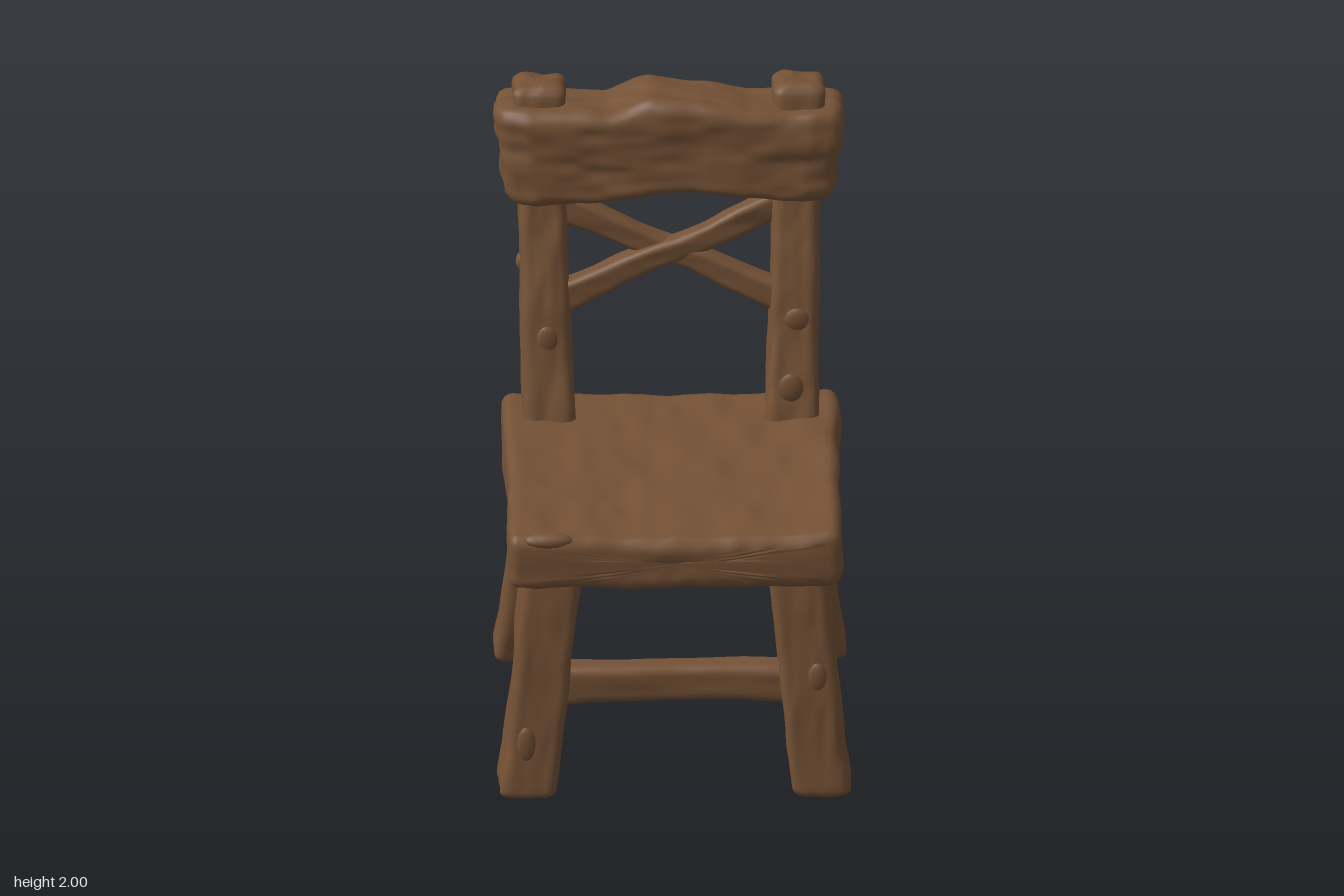
import * as THREE from 'three';

const wood = new THREE.MeshStandardMaterial({ color: 0x755236 });
wood.name = 'brown wood';

// Smooth value noise, about -1 to 1
function hash(x, y, z) {
  const s = Math.sin(x * 127.1 + y * 311.7 + z * 74.7) * 43758.5453;
  return s - Math.floor(s);
}
function noise(x, y, z) {
  const f = [x, y, z].map(Math.floor);
  const [a, b, c] = [x - f[0], y - f[1], z - f[2]].map((t) => t * t * (3 - 2 * t));
  let sum = 0;
  for (let i = 0; i < 8; i++) {
    const dx = i & 1, dy = (i >> 1) & 1, dz = i >> 2;
    sum += hash(f[0] + dx, f[1] + dy, f[2] + dz)
      * (dx ? a : 1 - a) * (dy ? b : 1 - b) * (dz ? c : 1 - c);
  }
  return sum * 2 - 1;
}

// Rounded rectangle outline, sampled evenly
function outline(w, h, r, n) {
  const s = new THREE.Shape(), a = w / 2 - r, b = h / 2 - r, q = Math.PI / 2;
  s.absarc(a, b, r, 0, q);
  s.absarc(-a, b, r, q, 2 * q);
  s.absarc(-a, -b, r, 2 * q, 3 * q);
  s.absarc(a, -b, r, 3 * q, 4 * q);
  s.closePath();
  return s.getSpacedPoints(n).slice(0, n);
}

// Hewn timber lofted along an axis. Each station is [t, centreU, centreV, sizeU, sizeV],
// where (U, V) is (y, z) for x, (z, x) for y and (x, y) for z.
function timber(name, axis, stations, o = {}) {
  const { r = 0.03, n = 56, steps = 40, rough = 0.008, grain = 5, fine = 18, warp } = o;
  const k = 'xyz'.indexOf(axis);
  const at = (t) => {
    let i = 0;
    while (i < stations.length - 2 && t > stations[i + 1][0]) i++;
    const A = stations[i], B = stations[i + 1];
    let f = (t - A[0]) / (B[0] - A[0]);
    f = f * f * (3 - 2 * f) * 0.3 + f * 0.7;
    return A.map((v, j) => v + (B[j] - v) * f);
  };
  const t0 = stations[0][0], t1 = stations[stations.length - 1][0];

  // Rings: flat cap, rounded rim, body, rounded rim, flat cap
  const cap = [0.001, 0.2, 0.4, 0.6, 0.8, 1].map((s) => [0, r, s]);
  const rim = [0.35, 0.7, 1].map((s) => [r * (1 - Math.cos(s * Math.PI / 2)), r * (1 - Math.sin(s * Math.PI / 2)), 1]);
  const ends = [...cap, ...rim];
  const rings = ends.map(([d, inset, s]) => [t0 + d, inset, s]);
  for (let i = 1; i < steps; i++) rings.push([t0 + r + (t1 - t0 - 2 * r) * i / steps, 0, 1]);
  rings.push(...ends.reverse().map(([d, inset, s]) => [t1 - d, inset, s]));

  const pos = [], idx = [];
  for (const [t, inset, s] of rings) {
    const [, cu, cv, su, sv] = at(t);
    for (const p of outline(su, sv, r, n)) {
      const v = [0, 0, 0];
      v[k] = t;
      v[(k + 1) % 3] = cu + p.x * s * (1 - 2 * inset / su);
      v[(k + 2) % 3] = cv + p.y * s * (1 - 2 * inset / sv);
      pos.push(...v);
    }
  }
  for (let i = 0; i < rings.length - 1; i++) {
    for (let j = 0; j < n; j++) {
      const a = i * n + j, b = i * n + (j + 1) % n;
      idx.push(a, b, b + n, a, b + n, a + n);
    }
  }
  const g = new THREE.BufferGeometry();
  g.setAttribute('position', new THREE.Float32BufferAttribute(pos, 3));
  g.setIndex(idx);
  g.computeVertexNormals();

  // Carve grain: noise stretched along the timber, pushed along the normals
  const P = g.attributes.position, N = g.attributes.normal;
  const p = new THREE.Vector3(), d = new THREE.Vector3(), seed = name.length * 3.7;
  for (let i = 0; i < P.count; i++) {
    p.fromBufferAttribute(P, i);
    d.fromBufferAttribute(N, i);
    const q = p.clone().multiplyScalar(fine).setComponent(k, p.getComponent(k) * grain).addScalar(seed);
    const bump = noise(q.x, q.y, q.z) * 0.75 + noise(q.x * 2.1, q.y * 2.1, q.z * 2.1) * 0.35;
    p.addScaledVector(d, bump * rough);
    if (warp) warp(p);
    P.setXYZ(i, p.x, p.y, p.z);
  }
  g.computeVertexNormals();
  const mesh = new THREE.Mesh(g, wood);
  mesh.name = name;
  return mesh;
}

// Small wooden knots and chips standing proud of the surface: [x, y, z, rx, ry, rz]
function knots(name, list) {
  const group = new THREE.Group();
  group.name = name;
  const ball = new THREE.SphereGeometry(1, 12, 8);
  for (const [x, y, z, rx, ry, rz] of list) {
    const m = new THREE.Mesh(ball, wood);
    m.name = 'knot';
    m.position.set(x, y, z);
    m.scale.set(rx, ry, rz);
    group.add(m);
  }
  return group;
}

export function createModel() {
  const chair = new THREE.Group();
  chair.name = 'rustic chair';

  // Seat slab, dished a little in the middle
  chair.add(timber('seat', 'z', [
    [-0.425, 0, 0.842, 1.06, 0.18], [-0.3, 0, 0.842, 1.07, 0.18],
    [0.1, 0, 0.842, 1.04, 0.18], [0.59, 0, 0.845, 1.05, 0.185],
  ], {
    r: 0.035, n: 150, steps: 64, rough: 0.011, grain: 5, fine: 10,
    warp: (p) => { if (p.y > 0.86) p.y -= 0.02 * Math.max(0, 1 - (p.x / 0.5) ** 2) - 0.006; },
  }));

  for (const s of [1, -1]) {
    const side = s > 0 ? 'left' : 'right';
    // Splayed legs
    chair.add(timber(side + 'FrontLeg', 'y', [
      [0, 0.505, s * 0.468, 0.19, 0.185], [0.2, 0.488, s * 0.442, 0.185, 0.18],
      [0.45, 0.465, s * 0.418, 0.19, 0.18], [0.8, 0.432, s * 0.385, 0.19, 0.19],
    ]));
    chair.add(timber(side + 'BackLeg', 'y', [
      [0, -0.412, s * 0.468, 0.19, 0.185], [0.15, -0.378, s * 0.445, 0.175, 0.18],
      [0.45, -0.338, s * 0.418, 0.175, 0.18], [0.8, -0.285, s * 0.385, 0.2, 0.19],
    ]));
    // Leaning back posts, poking out above the headrest
    chair.add(timber(side + 'BackPost', 'y', [
      [0.86, -0.3, s * 0.383, 0.2, 0.165], [1.25, -0.385, s * 0.393, 0.175, 0.155],
      [1.62, -0.47, s * 0.4, 0.165, 0.145], [1.99, -0.52, s * 0.41, 0.14, 0.165],
    ], { steps: 56 }));
    // Side stretcher
    chair.add(timber(side + 'Stretcher', 'z', [
      [-0.36, s * 0.425, 0.355, 0.1, 0.13], [0.06, s * 0.425, 0.355, 0.095, 0.12],
      [0.47, s * 0.425, 0.355, 0.1, 0.13],
    ], { n: 40, rough: 0.005 }));
    // Crossed brace
    chair.add(timber(s > 0 ? 'risingBrace' : 'fallingBrace', 'x', [
      [-0.36, 1.43 - s * 0.15, -0.426 + s * 0.034, 0.11, 0.075],
      [0, 1.43, -0.426 + s * 0.008, 0.085, 0.07],
      [0.36, 1.43 + s * 0.15, -0.426 - s * 0.034, 0.11, 0.075],
    ], { r: 0.022, n: 40, rough: 0.005 }));
  }

  // Front and back stretchers, slightly arched
  for (const [name, z] of [['frontStretcher', 0.47], ['backStretcher', -0.345]]) {
    chair.add(timber(name, 'x', [
      [-0.43, 0.36, z, 0.135, 0.1], [-0.2, 0.369, z, 0.125, 0.095],
      [0.2, 0.373, z, 0.12, 0.095], [0.43, 0.36, z, 0.135, 0.1],
    ], { n: 40, rough: 0.005 }));
  }

  // Headrest plank with a raised middle, arched underside and hollowed back
  chair.add(timber('headrest', 'x', [
    [-0.56, 1.77, -0.5, 0.31, 0.2], [-0.45, 1.768, -0.492, 0.325, 0.24],
    [-0.2, 1.775, -0.482, 0.3, 0.225], [-0.06, 1.808, -0.482, 0.325, 0.215],
    [0.1, 1.8, -0.482, 0.315, 0.215], [0.25, 1.775, -0.482, 0.295, 0.225],
    [0.45, 1.765, -0.492, 0.315, 0.24], [0.56, 1.767, -0.5, 0.305, 0.2],
  ], {
    r: 0.04, n: 110, steps: 80, rough: 0.014, grain: 6, fine: 14,
    warp: (p) => { p.x *= 1 + 0.22 * (p.y - 1.93); p.z -= (p.y - 1.77) * 0.06; },
  }));

  // Knots on the back of the headrest and chips along the posts and legs
  const backKnots = [];
  for (let i = 0; i < 12; i++) {
    backKnots.push([(hash(i, 1, 2) - 0.5) * 0.8, 1.68 + hash(i, 4, 7) * 0.2, -0.592, 0.016, 0.014, 0.014]);
  }
  chair.add(knots('headrestKnots', backKnots));
  chair.add(knots('chips', [
    [-0.47, 1.4, -0.41, 0.016, 0.03, 0.025], [0.4, 1.24, -0.3, 0.04, 0.04, 0.014],
    [-0.39, 1.18, -0.285, 0.035, 0.05, 0.014], [0.38, 1.03, -0.235, 0.04, 0.05, 0.014],
    [0.45, 0.42, 0.56, 0.03, 0.05, 0.014], [-0.47, 0.2, 0.582, 0.03, 0.06, 0.014],
    [-0.44, 0.42, -0.425, 0.03, 0.03, 0.014], [0.46, 0.2, -0.455, 0.03, 0.05, 0.014],
    [-0.4, 0.925, 0.57, 0.08, 0.025, 0.03],
  ]));
  return chair;
}
